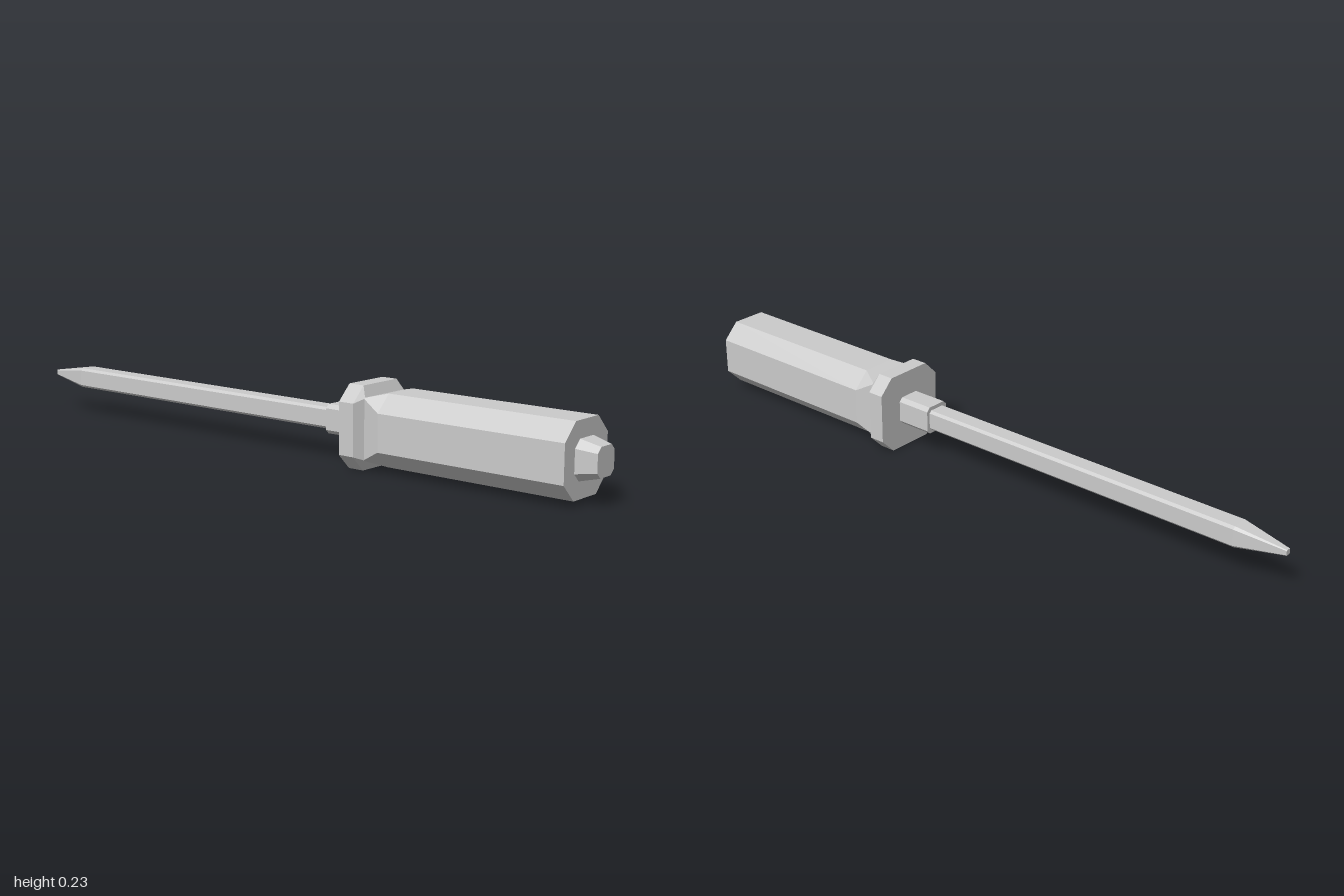
import * as THREE from 'three';

const material = new THREE.MeshStandardMaterial({ color: 0xcccccc, flatShading: true });

// Eight corners of a chamfered rectangle: half width, half height, chamfer
function octagon([z, w, h, c]) {
  return [
    [w, h - c], [w - c, h], [-w + c, h], [-w, h - c],
    [-w, -h + c], [-w + c, -h], [w - c, -h], [w, -h + c],
  ].map(([x, y]) => [x, y, z]);
}

// Closed loft through sections [z, halfWidth, halfHeight, chamfer], listed back to front
function loft(name, sections) {
  const rings = sections.map(octagon);
  const pos = [];
  const tri = (a, b, c) => pos.push(...a, ...b, ...c);
  for (let s = 0; s < rings.length - 1; s++) {
    const a = rings[s], b = rings[s + 1];
    for (let i = 0; i < 8; i++) {
      const j = (i + 1) % 8;
      tri(a[i], a[j], b[j]);
      tri(a[i], b[j], b[i]);
    }
  }
  const back = rings[0], front = rings[rings.length - 1];
  for (let i = 1; i < 7; i++) {
    tri(back[0], back[i + 1], back[i]);
    tri(front[0], front[i], front[i + 1]);
  }
  const geometry = new THREE.BufferGeometry();
  geometry.setAttribute('position', new THREE.Float32BufferAttribute(pos, 3));
  geometry.computeVertexNormals();
  const mesh = new THREE.Mesh(geometry, material);
  mesh.name = name;
  return mesh;
}

export function createModel() {
  const group = new THREE.Group();
  group.name = 'screwdriver';

  const tool = new THREE.Group();
  tool.name = 'tool';
  tool.position.y = 0.115;
  tool.add(
    // Long shank narrowing to a small square point
    loft('shank', [
      [-1, 0.008, 0.008, 0.002],
      [-0.86, 0.03, 0.03, 0.007],
      [0.16, 0.03, 0.03, 0.007],
    ]),
    // Collar holding the shank
    loft('ferrule', [
      [0.155, 0.04, 0.041, 0.011],
      [0.27, 0.04, 0.041, 0.011],
    ]),
    // Wide guard with a bevelled front
    loft('guard', [
      [0.262, 0.114, 0.115, 0.043],
      [0.31, 0.114, 0.115, 0.043],
      [0.325, 0.085, 0.085, 0.002],
    ]),
    // Octagonal grip with a neck that squares off at the guard
    loft('handle', [
      [0.323, 0.085, 0.085, 0.002],
      [0.38, 0.099, 0.099, 0.047],
      [0.945, 0.099, 0.099, 0.047],
    ]),
    // Tapered end cap
    loft('endCap', [
      [0.94, 0.054, 0.054, 0.022],
      [1, 0.039, 0.039, 0.015],
    ]),
  );
  group.add(tool);
  return group;
}
